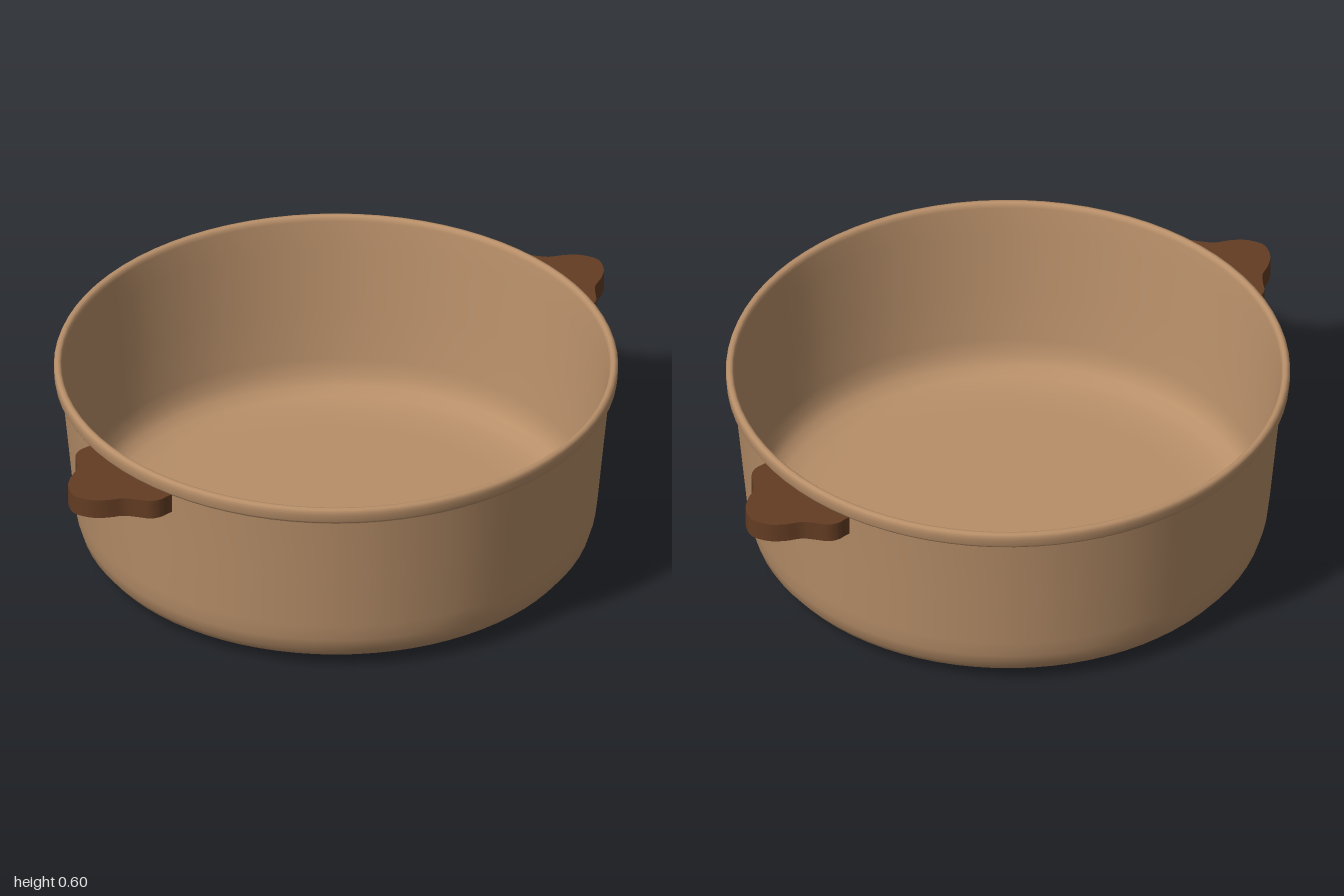
import * as THREE from 'three';
import { toCreasedNormals } from 'three/addons/utils/BufferGeometryUtils.js';

const clay = new THREE.MeshStandardMaterial({ color: 0xb88f69 });
clay.name = 'clay';
const wood = new THREE.MeshStandardMaterial({ color: 0x643d23 });
wood.name = 'darkBrown';

const v2 = (x, y) => new THREE.Vector2(x, y);

// Tapered pot with rounded base, stepped lip and hollow inside
function makePot() {
  const profile = [
    [0, 0], [0.5, 0.004], [0.62, 0.01], [0.68, 0.02], [0.72, 0.04], [0.744, 0.07],
    [0.756, 0.11], [0.762, 0.16], [0.78, 0.35], [0.798, 0.535], [0.8, 0.542],
    [0.813, 0.547], [0.818, 0.555], [0.82, 0.575], [0.82, 0.585], [0.817, 0.593], [0.81, 0.596],
    [0.803, 0.595], [0.798, 0.59], [0.795, 0.58], [0.786, 0.5], [0.766, 0.3], [0.748, 0.14],
    [0.738, 0.095], [0.72, 0.065], [0.69, 0.045], [0.64, 0.034], [0.55, 0.03], [0, 0.03],
  ].map(([r, y]) => v2(r, y));
  const pot = new THREE.Mesh(new THREE.LatheGeometry(profile, 80), clay);
  pot.name = 'pot';
  return pot;
}

// Handle outline: wavy outer edge, inner edge follows the pot wall
function handleOutline() {
  const half = [[0.8, 0.179], [0.82, 0.18], [0.85, 0.168], [0.875, 0.135], [0.9, 0.105],
    [0.94, 0.084], [0.975, 0.056], [0.995, 0.022]];
  const edge = [...half, [1, 0], ...half.map(([x, z]) => [x, -z]).reverse()]
    .map(([x, z]) => new THREE.Vector3(x, z, 0));
  const outer = new THREE.CatmullRomCurve3(edge).getPoints(48).map((p) => v2(p.x, p.y));
  const inner = [];
  for (let i = 0; i <= 12; i++) {
    const a = -0.226 + (0.452 * i) / 12;
    inner.push(v2(0.8 * Math.cos(a), 0.8 * Math.sin(a)));
  }
  return [...outer, ...inner];
}

// Extrude a plan shape downwards from the given height
function slab(shape, top, depth, name) {
  const geo = new THREE.ExtrudeGeometry(shape, { depth, bevelEnabled: false });
  geo.rotateX(Math.PI / 2).translate(0, top, 0);
  const mesh = new THREE.Mesh(toCreasedNormals(geo, 0.7), wood);
  mesh.name = name;
  return mesh;
}

// Handle: top plate with a thin skirt, open underneath
function makeHandle(name) {
  const outline = handleOutline();
  const rim = new THREE.Shape(outline);
  rim.holes.push(new THREE.Path(outline.map((p) => v2(0.875 + (p.x - 0.875) * 0.86, p.y * 0.88))));
  const handle = new THREE.Group();
  handle.name = name;
  handle.add(slab(new THREE.Shape(outline), 0.54, 0.012, 'handleTop'));
  handle.add(slab(rim, 0.528, 0.048, 'handleSkirt'));
  return handle;
}

export function createModel() {
  const model = new THREE.Group();
  model.name = 'cookingPot';
  const left = makeHandle('leftHandle');
  const right = makeHandle('rightHandle');
  right.rotation.y = Math.PI;
  model.add(makePot(), left, right);
  return model;
}
